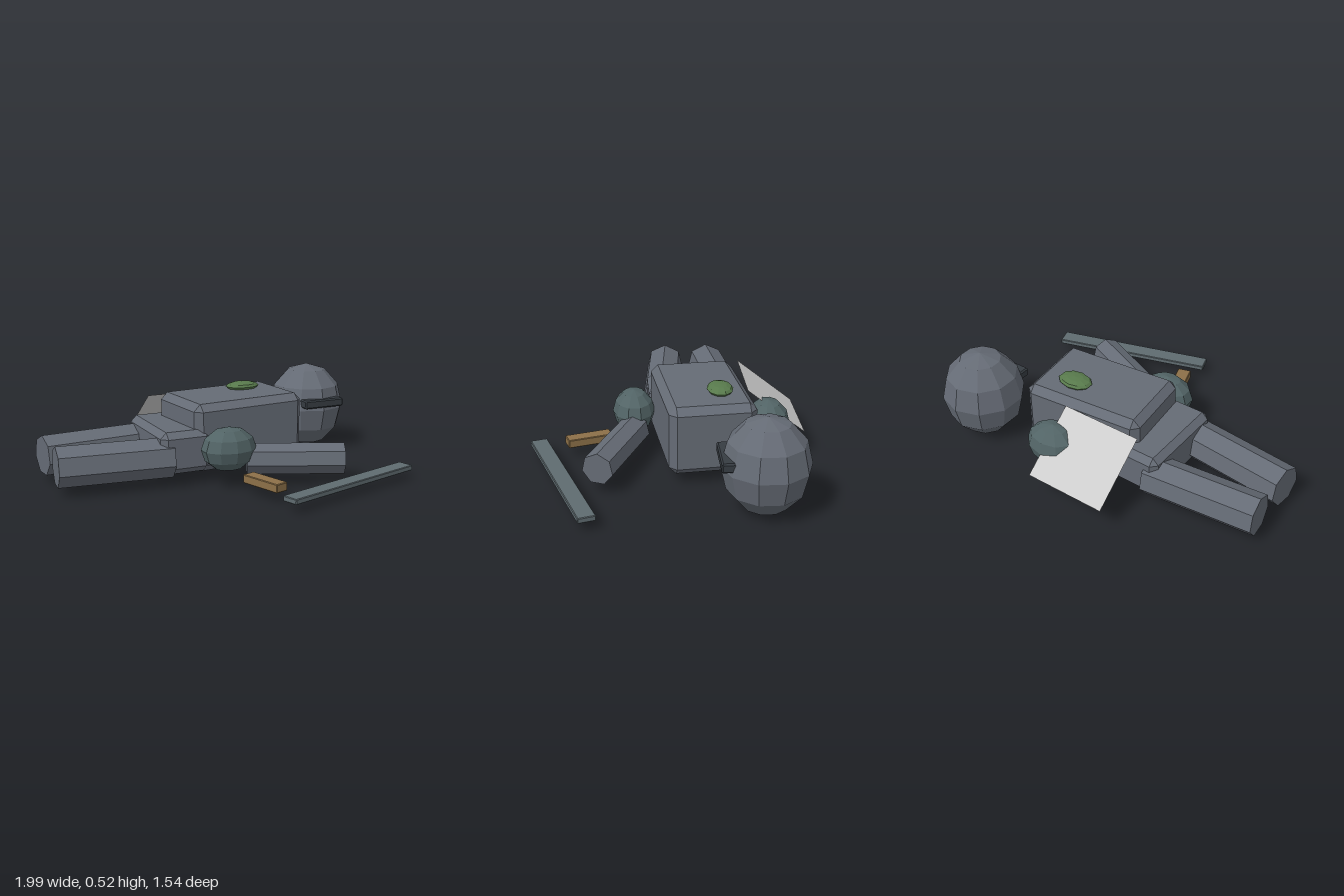
import * as THREE from 'three';
import { ConvexGeometry } from 'three/addons/geometries/ConvexGeometry.js';

const paint = (color, extra = {}) =>
  new THREE.MeshStandardMaterial({ color, flatShading: true, ...extra });

// Box whose twelve edges are cut by a chamfer c.
function chamferBox(w, h, d, c) {
  const points = [];
  for (const x of [-1, 1]) for (const y of [-1, 1]) for (const z of [-1, 1]) {
    for (let axis = 0; axis < 3; axis++) {
      const cut = [c, c, c];
      cut[axis] = 0;
      points.push(new THREE.Vector3(x * (w / 2 - cut[0]), y * (h / 2 - cut[1]), z * (d / 2 - cut[2])));
    }
  }
  return new ConvexGeometry(points);
}

// Faceted ellipsoid with a vertex row facing front and back.
function ellipsoid(rx, ry, rz) {
  return new THREE.SphereGeometry(1, 10, 6).rotateY(Math.PI / 2).scale(rx, ry, rz);
}

// Seven-sided limb running between two points.
function limb(a, b, radius) {
  const from = new THREE.Vector3(...a), to = new THREE.Vector3(...b);
  const length = from.distanceTo(to);
  const geometry = new THREE.CylinderGeometry(radius, radius, length, 7);
  geometry.rotateX(Math.PI / 2); // along z, one corner up
  geometry.rotateZ(Math.PI);
  geometry.lookAt(to.clone().sub(from));
  const mid = from.add(to).multiplyScalar(0.5);
  return geometry.translate(mid.x, mid.y, mid.z);
}

export function createModel() {
  const model = new THREE.Group();
  model.name = 'fallenFigure';

  const armour = paint(0x656b75);
  const joint = paint(0x526466);
  const dark = paint(0x363c42);
  const green = paint(0x587a4c);
  const brown = paint(0x8c7048);
  const steel = paint(0x5f6b70);
  const grey = paint(0xcccccc, { side: THREE.DoubleSide });

  function add(name, geometry, material, [x, y, z] = [0, 0, 0], turn = 0) {
    const mesh = new THREE.Mesh(geometry, material);
    mesh.name = name;
    mesh.position.set(x, y, z);
    mesh.rotation.y = turn;
    model.add(mesh);
    return mesh;
  }

  // Body
  add('torso', chamferBox(0.71, 0.385, 0.475, 0.04), armour, [0.115, 0.253, -0.2], 0.1);
  add('hips', chamferBox(0.295, 0.24, 0.545, 0.035), armour, [-0.277, 0.19, -0.192]);
  add('chestDisc', ellipsoid(0.103, 0.027, 0.073), green, [0.232, 0.46, -0.287]);

  // Detached head with visor
  add('head', ellipsoid(0.235, 0.262, 0.235), armour, [0.77, 0.264, -0.466]);
  add('visor', chamferBox(0.265, 0.052, 0.1, 0.008), dark, [0.77, 0.31, -0.275]);

  // Legs, spreading slightly towards the hips
  add('rightLeg', limb([-0.985, 0.157, -0.33], [-0.345, 0.157, -0.394], 0.115), armour);
  add('leftLeg', limb([-0.985, 0.157, -0.064], [-0.345, 0.157, 0], 0.115), armour);

  // Shoulders and the one remaining arm
  add('frontShoulder', ellipsoid(0.16, 0.125, 0.12), joint, [-0.07, 0.215, 0.172]);
  add('backShoulder', ellipsoid(0.16, 0.125, 0.12), joint, [0.17, 0.235, -0.565]);
  add('arm', limb([0.04, 0.145, 0.17], [0.54, 0.145, 0.385], 0.089), armour);

  // Dropped blade and its grip on the ground
  add('blade', chamferBox(0.95, 0.03, 0.096, 0.004), steel, [0.47, 0.065, 0.578], 0.3);
  add('grip', chamferBox(0.08, 0.048, 0.26, 0.004), brown, [0.022, 0.081, 0.432], 0.3);

  // Thin sheet sloping down behind the body
  const sheet = add('cape', new THREE.PlaneGeometry(0.475, 0.42), grey, [-0.067, 0.285, -0.615]);
  sheet.rotation.x = Math.PI / 2 - Math.atan2(0.26, 0.33);

  return model;
}
